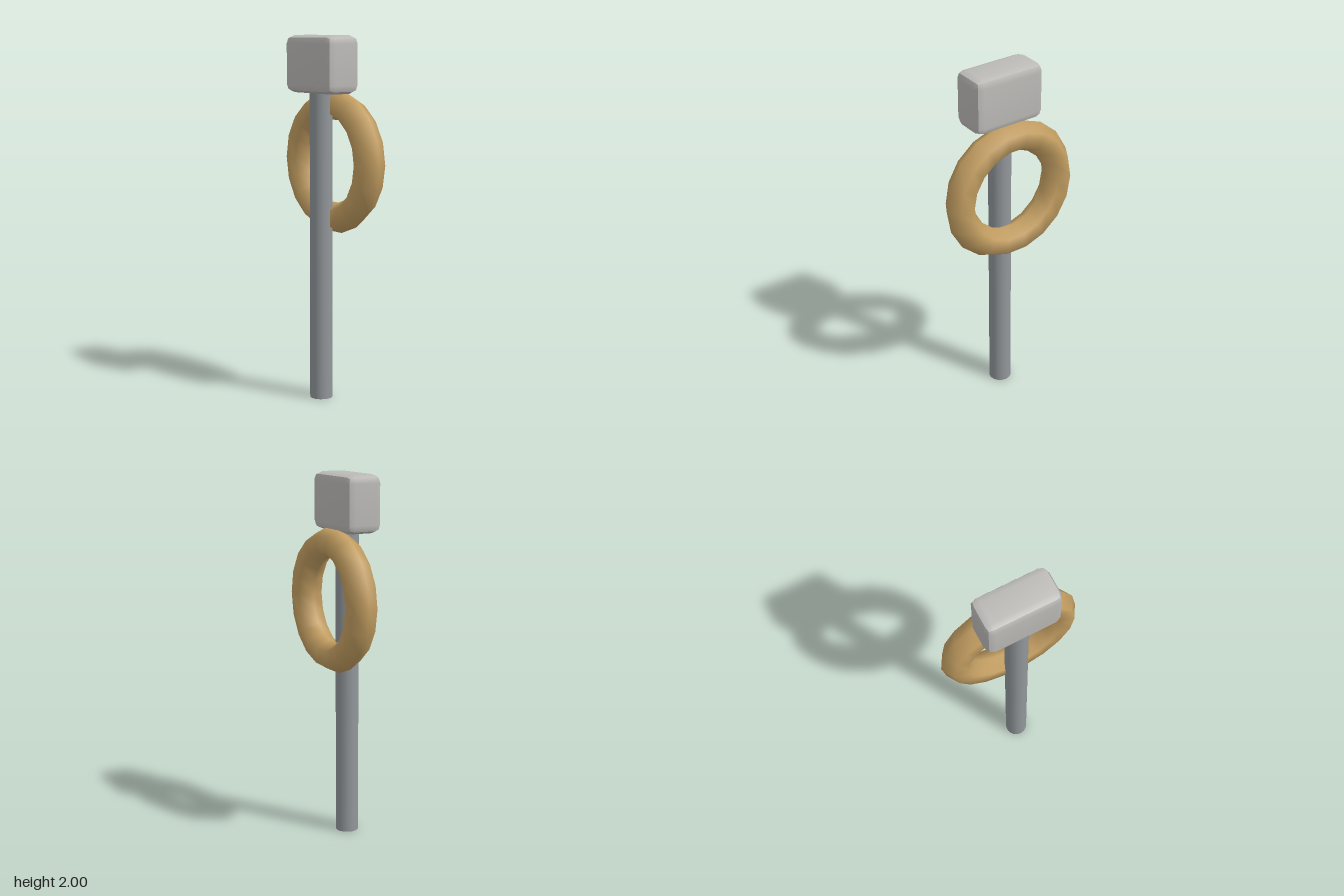
import * as THREE from 'three';

const material = (color) => new THREE.MeshStandardMaterial({ color });

// Box with two-step bevels: each face keeps its own smooth normals, creased along the bevel's middle
function bevelledBox(w, h, d, r) {
  const geo = new THREE.BoxGeometry(2, 2, 2, 3, 3, 3);
  const pos = geo.attributes.position;
  const inner = [w / 2 - r, h / 2 - r, d / 2 - r];
  const v = new THREE.Vector3();
  for (let i = 0; i < pos.count; i++) {
    v.fromBufferAttribute(pos, i);
    const signs = v.toArray().map(Math.sign);
    const n = new THREE.Vector3(...v.toArray().map((c) => (Math.abs(c) > 0.9 ? Math.sign(c) : 0))).normalize();
    pos.setXYZ(i, ...n.toArray().map((c, k) => signs[k] * inner[k] + c * r));
  }
  geo.computeVertexNormals();
  return geo;
}

export function createModel() {
  const model = new THREE.Group();
  model.name = 'postWithRing';

  const add = (name, geometry, color, x, y, z) => {
    const mesh = new THREE.Mesh(geometry, material(color));
    mesh.name = name;
    mesh.position.set(x, y, z);
    model.add(mesh);
  };

  // Upright round post
  add('post', new THREE.CylinderGeometry(0.063, 0.063, 1.72, 16), 0x92979a, 0, 0.86, 0.028);

  // Bevelled block on top of the post
  add('head', bevelledBox(0.42, 0.31, 0.21, 0.045), 0xbdbbb8, 0, 1.845, 0.025);

  // Six-sided ring hung behind the post
  add('ring', new THREE.TorusGeometry(0.313, 0.084, 6, 18), 0xc49f62, 0, 1.317, -0.06);

  return model;
}
